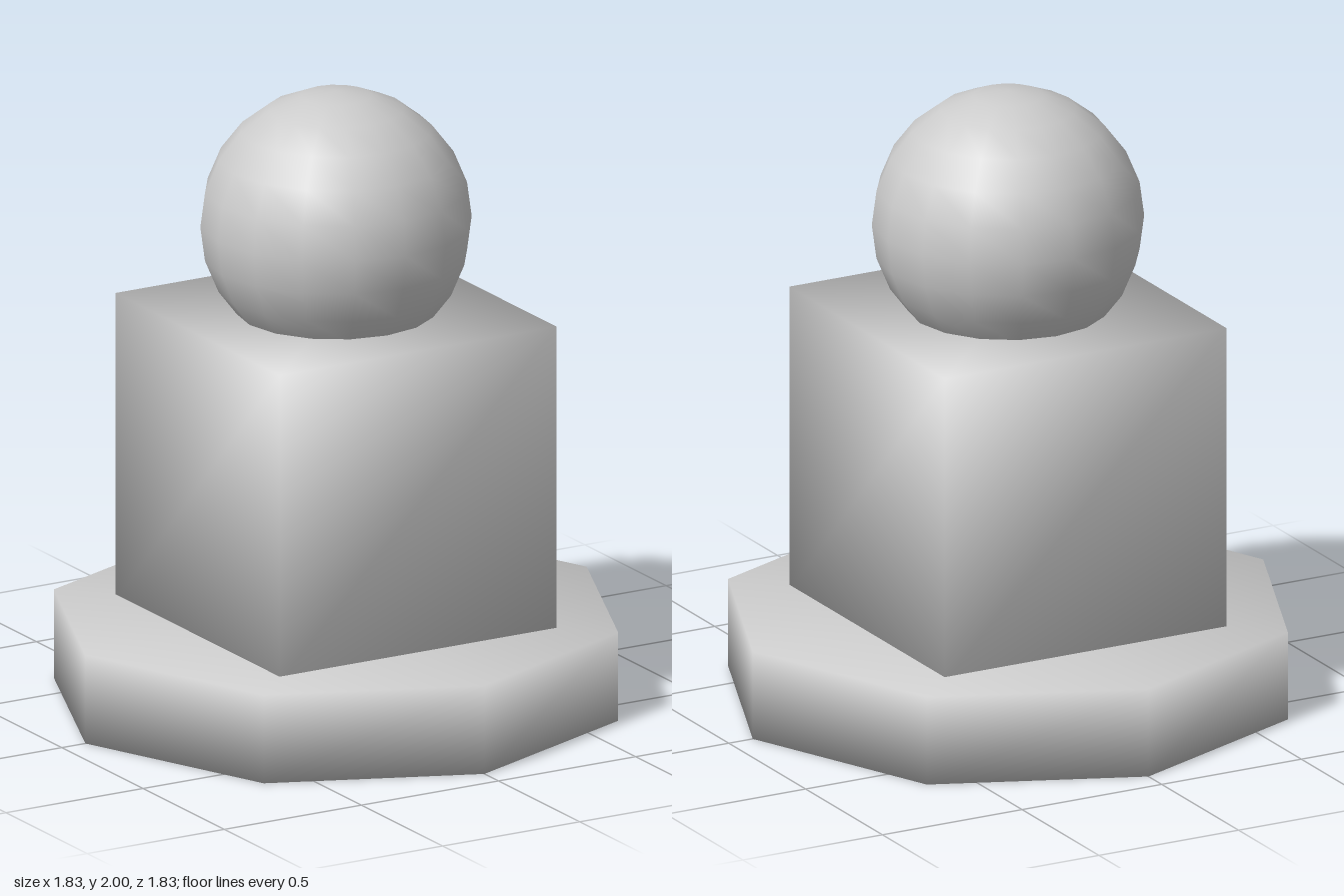
import * as THREE from 'three';
import { mergeVertices } from 'three/addons/utils/BufferGeometryUtils.js';

const material = new THREE.MeshStandardMaterial({ color: 0xcccccc });

// Weld shared corners so shading runs smoothly across the edges
function smooth(geometry) {
  geometry.deleteAttribute('normal');
  geometry.deleteAttribute('uv');
  const welded = mergeVertices(geometry, 1e-4);
  welded.computeVertexNormals();
  return welded;
}

export function createModel() {
  const model = new THREE.Group();
  const add = (name, geometry, y) => {
    const mesh = new THREE.Mesh(geometry, material);
    mesh.name = name;
    mesh.position.y = y;
    model.add(mesh);
  };

  // Octagonal plinth with corners on the x and z axes
  add('base', smooth(new THREE.CylinderGeometry(0.914, 0.914, 0.29, 8)), 0.145);

  // Cube body, its underside sunk slightly into the base
  add('body', smooth(new THREE.BoxGeometry(1.01, 1.01, 1.01)), 0.775);

  // Ball sunk into the top of the body
  add('head', new THREE.SphereGeometry(0.43, 16, 12), 1.57);

  return model;
}
